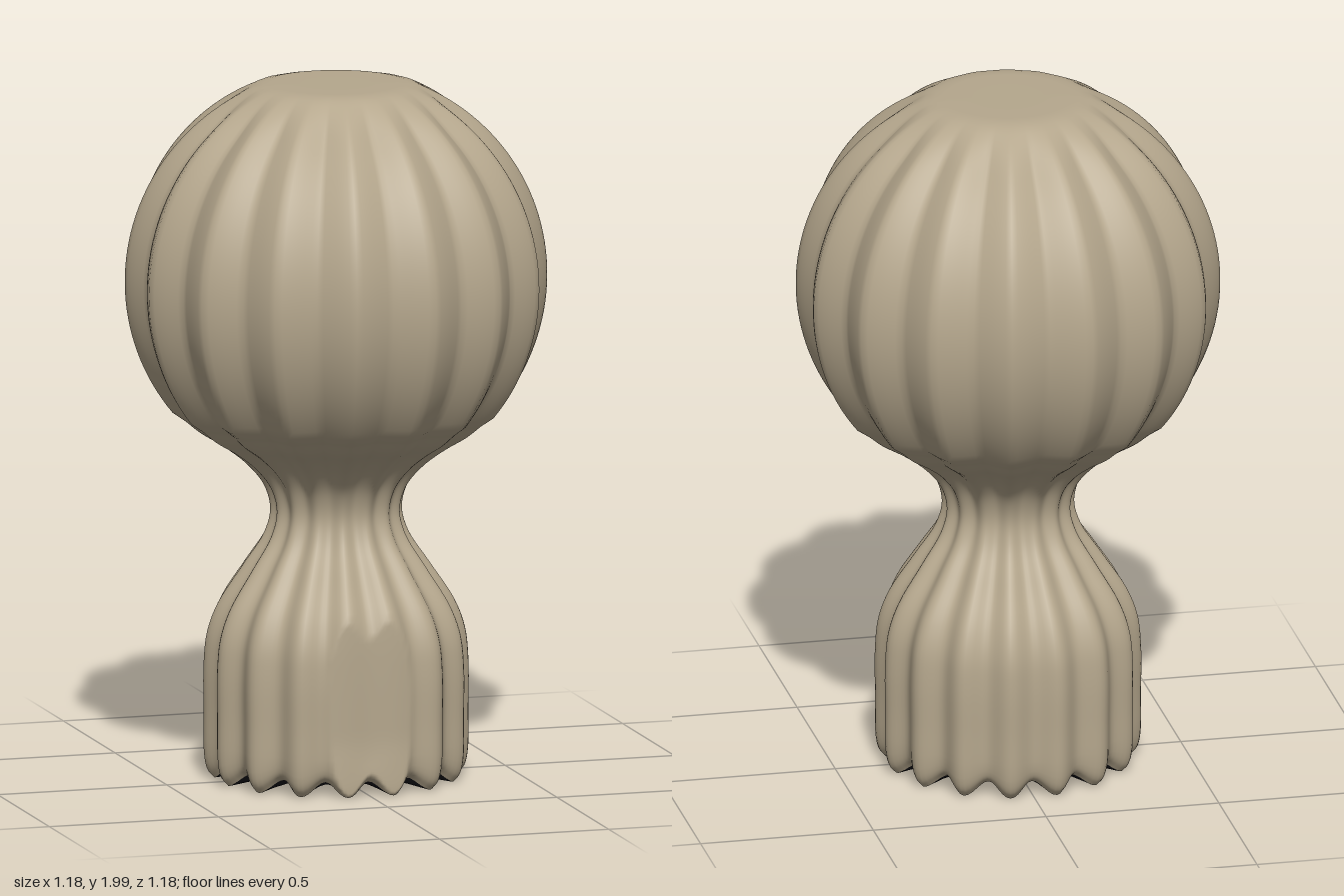
import * as THREE from 'three';

const FLUTES = 16, SEG = FLUTES * 12;

// Flute wave: 0 in a valley, 1 on a ridge; sharp blends from round to pleated
function wave(j, sharp) {
  const u = (j * FLUTES / SEG) % 1;
  const pleat = 1 - Math.abs(2 * u - 1);
  const round = Math.sin(Math.PI * u) ** 2;
  return round + (pleat - round) * sharp;
}

// Point on a ring; row = { y, r (ridge radius), depth, sharp, lift (valley rise) }
function ringPoint({ y, r, depth, sharp, lift }, j) {
  const a = j / SEG * Math.PI * 2, w = wave(j, sharp);
  const radius = r - depth * (1 - w);
  const x = Math.sin(a) * radius;
  let z = Math.cos(a) * radius;
  // pressed-in flat on the front of the base
  if (y < 0.56) {
    const limit = 0.33 + 0.015 * Math.max(0, 1 - y / 0.16);
    if (z > limit) z = limit + (z - limit) * 0.12;
  }
  return [x, y + lift * (1 - w), z];
}

// Closed rings joined into a smooth skin
function skin(rows) {
  const pos = [], index = [];
  rows.forEach((row, i) => {
    for (let j = 0; j < SEG; j++) {
      pos.push(...ringPoint(row, j));
      if (i === rows.length - 1) continue;
      const k = (j + 1) % SEG;
      const a = i * SEG + j, b = i * SEG + k, c = b + SEG, d = a + SEG;
      index.push(a, b, c, a, c, d);
    }
  });
  const geo = new THREE.BufferGeometry();
  geo.setAttribute('position', new THREE.Float32BufferAttribute(pos, 3));
  geo.setIndex(index);
  geo.computeVertexNormals();
  return geo;
}

export function createModel() {
  const group = new THREE.Group();
  const beige = new THREE.MeshStandardMaterial({ color: 0xb5a78d });
  beige.name = 'warm beige';
  const dark = new THREE.MeshStandardMaterial({ color: 0x16151b });
  dark.name = 'dark underside';

  const rows = [];

  // Base, waist and flare: radius, height, flute depth
  const profile = [
    [0.345, 0.008, 0.03], [0.364, 0.03, 0.03], [0.374, 0.07, 0.03], [0.376, 0.2, 0.028],
    [0.376, 0.34, 0.028], [0.366, 0.43, 0.028], [0.336, 0.51, 0.027], [0.264, 0.62, 0.022],
    [0.205, 0.71, 0.015], [0.187, 0.78, 0.013], [0.206, 0.85, 0.016], [0.255, 0.91, 0.024],
    [0.32, 0.96, 0.032], [0.385, 1.0, 0.037], [0.428, 1.035, 0.04]
  ];
  const curve = new THREE.CatmullRomCurve3(profile.map(p => new THREE.Vector3(...p)));
  for (const p of curve.getPoints(70)) {
    rows.push({
      y: p.y, r: p.x, depth: p.z,
      sharp: THREE.MathUtils.smoothstep(p.y, 0.8, 1.1) * 0.8,
      lift: 0.042 * Math.max(0, 1 - p.y / 0.12)
    });
  }

  // Pleated globe, flutes fading toward the flat crown
  const R = 0.6, cy = 1.44;
  const start = Math.asin((1.06 - cy) / R), end = Math.asin((1.992 - cy) / R);
  for (let i = 0; i <= 44; i++) {
    const t = start + (end - start) * i / 44;
    const r = R * Math.cos(t);
    const fade = THREE.MathUtils.smoothstep(r, 0.2, 0.42);
    rows.push({
      y: cy + R * Math.sin(t), r,
      depth: t > 0 ? 0.042 * fade : 0.042, sharp: 0.8, lift: 0
    });
  }

  // Flat crown
  for (const [r, y] of [[0.205, 1.998], [0.175, 2], [0.1, 2], [0, 2]])
    rows.push({ y, r, depth: 0, sharp: 0, lift: 0 });

  const body = new THREE.Mesh(skin(rows), beige);
  body.name = 'flutedBody';
  group.add(body);

  // Dark underside closing the scalloped rim
  const rim = rows[0];
  const under = new THREE.Mesh(skin([
    { y: 0.024, r: 0, depth: 0, sharp: 0, lift: 0 },
    { y: 0.022, r: 0.17, depth: 0.008, sharp: 0, lift: 0.004 },
    { y: 0.016, r: 0.28, depth: 0.02, sharp: 0, lift: 0.015 },
    rim
  ]), dark);
  under.name = 'underside';
  group.add(under);

  return group;
}
